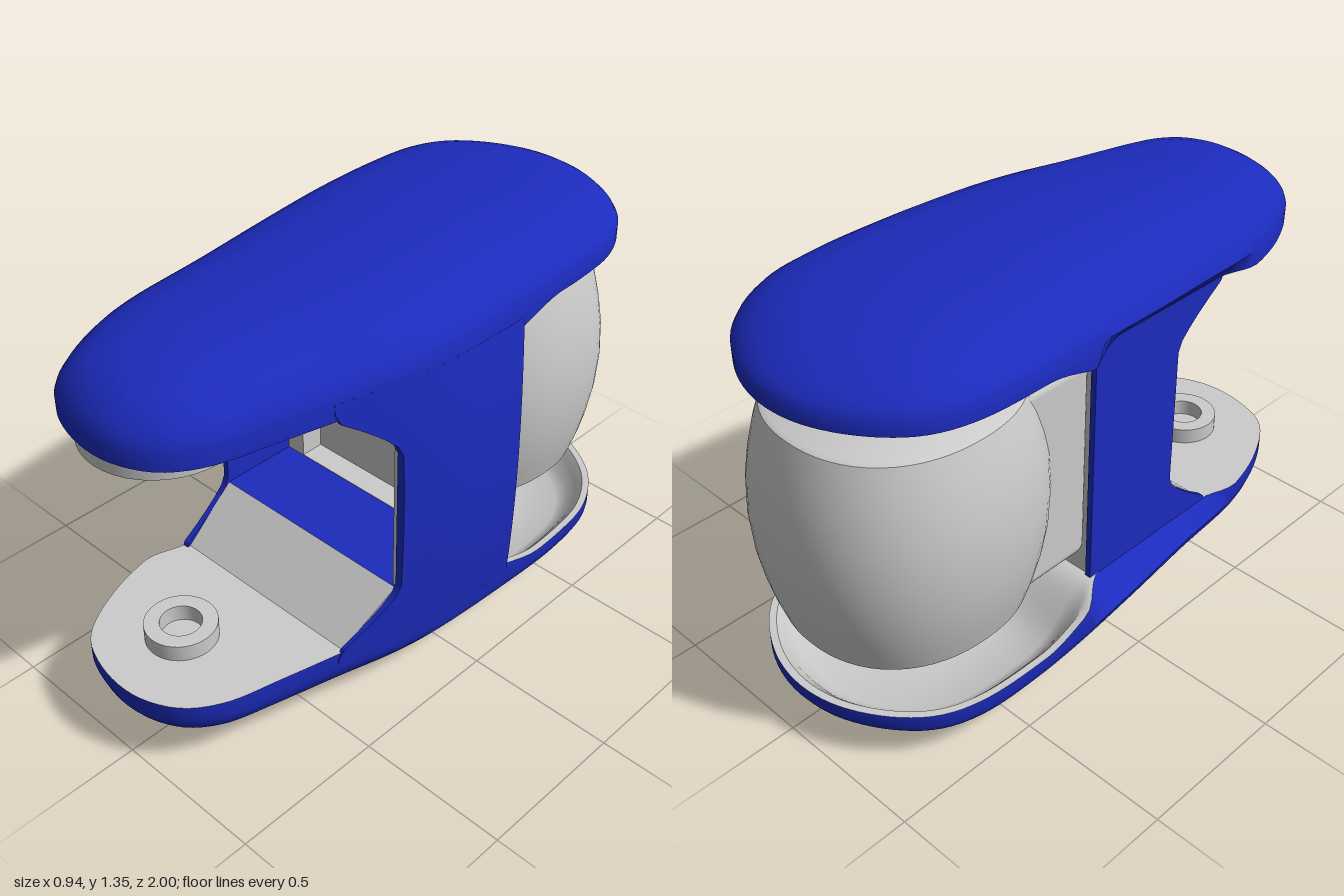
import * as THREE from 'three';
import { toCreasedNormals } from 'three/addons/utils/BufferGeometryUtils.js';
import { RoundedBoxGeometry } from 'three/addons/geometries/RoundedBoxGeometry.js';

const H = 1.355; // overall height; the body mirrors about H / 2
const { clamp, smoothstep, lerp } = THREE.MathUtils;
const blue = new THREE.MeshStandardMaterial({ color: 0x1c2bbd, side: THREE.DoubleSide });
const grey = new THREE.MeshStandardMaterial({ color: 0xcccccc, side: THREE.DoubleSide });

// Plan outline of the body: wide rounded back, narrow rounded front
const plan = new THREE.CatmullRomCurve3([
  [0, -0.975], [0.15, -0.935], [0.3, -0.83], [0.39, -0.68], [0.42, -0.5], [0.425, -0.2],
  [0.42, 0.1], [0.4, 0.25], [0.35, 0.45], [0.3, 0.65], [0.25, 0.83], [0.18, 0.93],
  [0.08, 0.985], [-0.02, 1], [-0.15, 0.98], [-0.25, 0.93], [-0.34, 0.79], [-0.4, 0.6],
  [-0.425, 0.3], [-0.45, 0], [-0.47, -0.4], [-0.455, -0.65], [-0.405, -0.78],
  [-0.3, -0.885], [-0.15, -0.96],
].map(([x, z]) => new THREE.Vector3(x, 0, z)), true);
const outline = plan.getSpacedPoints(160).slice(0, -1);

// Skin closed loops of points, all with the same count
function loft(rings, flip = false, caps = false, crease = 0.6) {
  const n = rings[0].length, pos = rings.flat().flatMap(p => [p.x, p.y, p.z]), idx = [];
  const tri = (a, b, c) => (flip ? idx.push(a, c, b) : idx.push(a, b, c));
  for (let r = 0; r < rings.length - 1; r++) {
    for (let i = 0; i < n; i++) {
      const a = r * n + i, b = r * n + (i + 1) % n;
      tri(a, a + n, b);
      tri(b, a + n, b + n);
    }
  }
  if (caps) {
    const top = (rings.length - 1) * n;
    for (let i = 1; i < n - 1; i++) {
      tri(0, i, i + 1);
      tri(top, top + i + 1, top + i);
    }
  }
  const g = new THREE.BufferGeometry();
  g.setAttribute('position', new THREE.Float32BufferAttribute(pos, 3));
  g.setIndex(idx);
  return toCreasedNormals(g, crease);
}

// Heights along the body: lip of the cap, base of its curved side, crown
const lipY = z => lerp(1.17, 1.1, smoothstep(z, -0.4, -0.1));
const baseY = z => lerp(1.17, 1.1, smoothstep(z, -0.75, 0.55));
function crownY(z) {
  const t = z + 0.2;
  return H - (t > 0 ? 0.06 * t * t / (t + 0.15) : 0.05 * t * t);
}

// Pull an outline point towards the body's long spine
function inset(p, k) {
  const mz = clamp(p.z, -0.5, 0.66);
  return new THREE.Vector3(lerp(-0.02, p.x, k), 0, lerp(mz, p.z, k));
}

// The lip is cut back flat along the side at -x
function lipPoint(p, k) {
  const q = inset(p, k);
  const cut = smoothstep(p.z, -0.22, -0.05) * (1 - smoothstep(p.z, 0.45, 0.6));
  q.x = lerp(q.x, Math.max(q.x, -0.37), cut);
  return q;
}

function capRings(up) {
  const place = y => (up ? y : H - y);
  const shell = [[1, 0], [1, 0.27], [0.97, 0.42], [0.92, 0.55], [0.85, 0.67], [0.78, 0.76],
    [0.68, 0.85], [0.5, 0.94], [0.27, 0.985], [0, 1]].map(([k, h]) => outline.map(p => {
    const q = h === 0 ? lipPoint(p, k) : inset(p, k);
    q.y = place(h === 0 ? lipY(p.z) : lerp(baseY(p.z), crownY(q.z), h));
    return q;
  }));
  // Flat deck at the front, hollow dish at the back
  const lining = [[1, 0], [0.95, 0], [0.9, 0.3], [0.84, 0.75], [0.76, 1], [0.4, 1], [0, 1]]
    .map(([k, d]) => outline.map(p => {
      const q = lipPoint(p, k);
      q.y = place(lipY(q.z) + 0.09 * d * (1 - smoothstep(q.z, -0.3, -0.1)));
      return q;
    }));
  return { shell, lining };
}

// Outline x on the +x side at a given z
const sideEdge = outline.filter(p => p.x > 0.1);
function edgeX(z) {
  const i = Math.max(1, sideEdge.findIndex(p => p.z > z));
  const a = sideEdge[i - 1], b = sideEdge[i];
  return lerp(a.x, b.x, (z - a.z) / (b.z - a.z));
}

// Front edge of the side walls, flaring into the caps
function wallFront(y) {
  const d = Math.abs(y - H / 2);
  return 0.27 + 0.2 * Math.pow(clamp((d - 0.25) / 0.17, 0, 1), 1.3);
}

// Side wall as a stack of thin horizontal sections
function wall(rows, outerX, innerX, back) {
  const n = 12, rings = [];
  for (let r = 0; r <= rows; r++) {
    const y = lerp(0.2, H - 0.2, r / rows), f = wallFront(y), b = back(y), high = [], low = [];
    for (let i = 0; i <= n; i++) {
      const z = lerp(b, f, i / n);
      high.push(new THREE.Vector3(outerX(y, z), y, z));
      low.unshift(new THREE.Vector3(innerX(z), y, z));
    }
    rings.push([...high, ...low]);
  }
  return loft(rings, false, true, 0.5);
}

const shapeOf = pts => new THREE.Shape(pts.map(p => new THREE.Vector2(...p)));
const extrude = (shape, depth) => new THREE.ExtrudeGeometry(shape, { depth, bevelEnabled: false });

// Block across the bay from a (z, y) section, its +x end trimmed to follow the side wall
function crossBlock(pts) {
  const g = extrude(shapeOf(pts), 0.74).rotateY(-Math.PI / 2).translate(0.39, 0, 0);
  const p = g.attributes.position;
  for (let i = 0; i < p.count; i++) p.setX(i, Math.min(p.getX(i), edgeX(p.getZ(i)) - 0.008));
  g.computeVertexNormals();
  return g;
}

// Barrel with a slightly squarish oval plan
function barrel() {
  const half = [[0, 0.363], [0.82, 0.363], [0.85, 0.355], [0.905, 0.28], [0.95, 0.2],
    [0.985, 0.11], [1, 0]];
  const profile = [...half.map(([r, y]) => [r, -y]), ...half.slice(0, -1).reverse()]
    .map(p => new THREE.Vector2(...p));
  const g = new THREE.LatheGeometry(profile, 64), p = g.attributes.position;
  for (let i = 0; i < p.count; i++) {
    const x = p.getX(i), z = p.getZ(i), r = Math.hypot(x, z) || 1;
    const f = Math.pow(Math.abs(x / r) ** 2.2 + Math.abs(z / r) ** 2.2 || 1, -1 / 2.2);
    p.setX(i, x * f * 0.41);
    p.setZ(i, z * f * 0.43);
  }
  return toCreasedNormals(g, 0.6);
}

export function createModel() {
  const model = new THREE.Group();
  const add = (name, geo, mat, x = 0, y = 0, z = 0, parent = model) => {
    const m = new THREE.Mesh(geo, mat);
    m.name = name;
    m.position.set(x, y, z);
    parent.add(m);
    return m;
  };

  // Upper and lower caps with their linings
  for (const up of [true, false]) {
    const { shell, lining } = capRings(up), name = up ? 'upper' : 'lower';
    add(name + 'Shell', loft(shell, !up), blue);
    add(name + 'Lining', loft(lining, up), grey);
  }

  // Bulging wall on one side, flat wall on the other
  const bow = y => 1 - Math.pow((y - H / 2) / 0.48, 2);
  add('bulgedSideWall', wall(28,
    (y, z) => edgeX(z) + 0.042 * bow(y) * (1 - 0.5 * smoothstep(z, 0, 0.3)),
    z => edgeX(z) - 0.007, y => -0.22 + 0.035 * bow(y)), blue);
  add('flatSideWall', wall(28, () => -0.352, () => -0.372, () => -0.1), blue);

  // Bulkhead with a window between the two bays
  const bulkhead = shapeOf([[-0.35, 0.2], [0.41, 0.2], [0.41, 1.155], [-0.35, 1.155]]);
  bulkhead.holes.push(new THREE.Path([[-0.28, 0.42], [-0.28, 0.97], [0.25, 0.97], [0.25, 0.42]]
    .map(p => new THREE.Vector2(...p))));
  add('bulkhead', extrude(bulkhead, 0.09), grey, 0, 0, -0.09);

  // Ramps and sills leading to the window
  add('lowerRamp', crossBlock([[0.45, 0.258], [0.27, 0.418], [0.27, 0.258]]), grey);
  add('upperRamp', crossBlock([[0.45, 1.102], [0.27, 0.965], [0.27, 1.102]]), grey);
  add('lowerSill', crossBlock([[0.27, 0.25], [0.27, 0.418], [0, 0.418], [0, 0.25]]), blue);
  add('upperSill', crossBlock([[0.27, 0.965], [0.27, 1.11], [0, 1.11], [0, 0.965]]), blue);
  const cheek = shapeOf([[0.388, 0.262], [0.37, 0.262], [0.25, 0], [0.4, 0]]);
  add('windowCheek', extrude(cheek, 0.6).rotateX(Math.PI / 2), grey, 0, 0.99, 0);

  // Barrel-shaped drum in the rear bay, with its mounting collar
  add('drum', barrel(), grey, -0.05, 0.693, -0.57);
  add('drumCollar', new RoundedBoxGeometry(0.58, 0.72, 0.34, 4, 0.04), grey, -0.05, 0.693, -0.25);

  // Ribbed knob under the upper deck
  const knob = new THREE.Group();
  knob.name = 'knob';
  knob.position.set(-0.055, 0, 0.735);
  model.add(knob);
  const ring = (r0, r1, y0, y1) => toCreasedNormals(new THREE.LatheGeometry(
    [[r0, y0], [r1, y0], [r1, y1], [r0, y1], [r0, y0]].map(p => new THREE.Vector2(...p)), 40), 0.6);
  add('knobRim', ring(0.2, 0.235, 1.022, 1.105), grey, 0, 0, 0, knob);
  add('knobBase', new THREE.CylinderGeometry(0.22, 0.22, 0.03, 40), grey, 0, 1.085, 0, knob);
  add('knobHub', new THREE.CylinderGeometry(0.1, 0.1, 0.13, 32), grey, 0, 1.037, 0, knob);
  for (let i = 0; i < 6; i++) {
    const a = i * Math.PI / 3;
    const rib = add('knobRib', new THREE.BoxGeometry(0.13, 0.06, 0.04), grey,
      0.15 * Math.cos(a), 1.053, -0.15 * Math.sin(a), knob);
    rib.rotation.y = a;
  }

  // Raised ring on the lower deck
  add('deckRing', ring(0.065, 0.113, 0.25, 0.31), grey, -0.055, 0, 0.735);
  return model;
}
